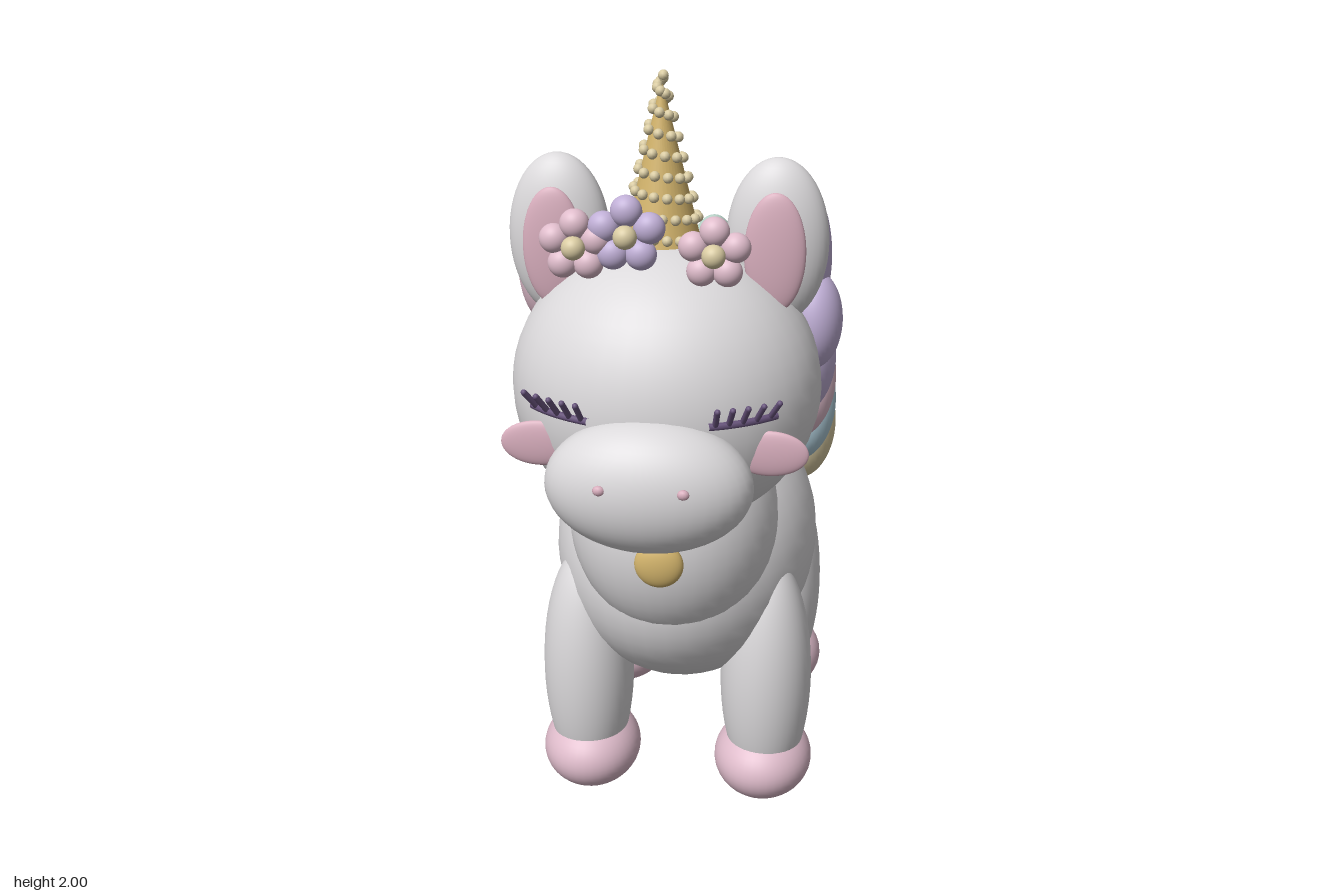
import * as THREE from 'three';

const CX = -0.008; // the body's mirror plane

const colours = {
  coat: 0xdbd9db, pink: 0xdfbccb, rose: 0xd8aebd, lilac: 0xc0afd6, sky: 0xaecbd8,
  mint: 0xbcd8cd, cream: 0xd9cba2, gold: 0xd3b46c, plum: 0x66527a,
};

export function createModel() {
  const model = new THREE.Group();
  model.name = 'unicorn';
  const mats = {};
  for (const [name, hex] of Object.entries(colours)) {
    mats[name] = new THREE.MeshStandardMaterial({ color: hex });
    mats[name].name = name;
  }
  const ball = new THREE.SphereGeometry(1, 40, 28);
  const bead = new THREE.SphereGeometry(1, 12, 8);

  const add = (name, geo, mat, parent = model) => {
    const mesh = new THREE.Mesh(geo, mats[mat]);
    mesh.name = name;
    parent.add(mesh);
    return mesh;
  };
  // Ellipsoid from centre, radii and rotation
  const blob = (name, mat, pos, radii, rot = [0, 0, 0], parent = model, geo = ball) => {
    const mesh = add(name, geo, mat, parent);
    mesh.position.set(...pos);
    mesh.scale.set(...radii);
    mesh.rotation.set(...rot);
    return mesh;
  };
  const group = (name) => {
    const g = new THREE.Group();
    g.name = name;
    model.add(g);
    return g;
  };

  // Body, neck, head, muzzle
  blob('body', 'coat', [CX, 0.665, 0.035], [0.357, 0.375, 0.483]);
  blob('neck', 'coat', [CX, 0.85, 0.33], [0.268, 0.32, 0.26]);
  blob('head', 'coat', [CX, 1.25, 0.442], [0.371, 0.35, 0.328]);
  blob('muzzle', 'coat', [CX, 1.115, 0.748], [0.238, 0.16, 0.13]);
  blob('pendant', 'gold', [CX, 0.84, 0.605], [0.06, 0.06, 0.027]);

  // Height of the head's front surface
  const faceZ = (x, y) =>
    0.442 + 0.328 * Math.sqrt(1 - (x / 0.371) ** 2 - ((y - 1.25) / 0.35) ** 2);

  for (const s of [1, -1]) {
    const side = s > 0 ? 'left' : 'right';

    // Legs and hooves
    for (const [end, z, rz, hz] of [['Front', 0.287, 0.13, 0.15], ['Rear', -0.27, 0.148, 0.153]]) {
      blob(side + end + 'Leg', 'coat', [CX + s * 0.242, 0.363, z], [0.122, 0.355, rz]);
      blob(side + end + 'Hoof', 'pink', [CX + s * 0.238, 0.11, z], [0.133, 0.108, hz]);
    }

    // Ears
    blob(side + 'Ear', 'coat', [CX + s * 0.257, 1.597, 0.411], [0.12, 0.197, 0.07]);
    blob(side + 'InnerEar', 'rose', [CX + s * 0.257, 1.59, 0.492], [0.071, 0.14, 0.022]);

    // Cheeks and nostrils
    blob(side + 'Cheek', 'rose', [CX + s * 0.265, 1.173, 0.673], [0.09, 0.055, 0.014]);
    blob(side + 'Nostril', 'rose', [CX + s * 0.093, 1.147, 0.864], [0.014, 0.012, 0.01], [0, 0, 0], model, bead);

    // Closed eyelid with lashes
    const eye = group(side + 'Eye');
    const lid = [];
    for (let i = 0; i <= 6; i++) {
      const x = 0.135 + i * 0.024;
      lid.push(new THREE.Vector3(CX + s * x, 1.262, faceZ(x, 1.262) + 0.004));
    }
    const curve = new THREE.CatmullRomCurve3(lid);
    add('eyelid', new THREE.TubeGeometry(curve, 16, 0.009, 8), 'plum', eye);
    for (let i = 0; i < 5; i++) {
      const root = curve.getPoint(0.1 + i * 0.2);
      const tip = root.clone().add(new THREE.Vector3(s * (0.008 + i * 0.004), 0.046, 0.03));
      add('lash', new THREE.TubeGeometry(new THREE.LineCurve3(root, tip), 1, 0.007, 8), 'plum', eye);
      blob('lashTip', 'plum', tip.toArray(), [0.007, 0.007, 0.007], [0, 0, 0], eye, bead);
    }
  }

  // Horn wound with a spiral of beads
  const horn = group('horn');
  const hornBase = 1.615, hornHeight = 0.365, hornRadius = 0.088;
  const cone = add('hornCone', new THREE.ConeGeometry(hornRadius, hornHeight, 40), 'gold', horn);
  cone.position.set(CX, hornBase + hornHeight / 2, 0.495);
  let angle = 0;
  const turns = 8;
  while (angle < turns * Math.PI * 2) {
    const t = angle / (turns * Math.PI * 2);
    const r = hornRadius * (1 - t) + 0.004;
    blob('hornBead', 'cream',
      [CX + r * Math.cos(angle), hornBase + 0.01 + t * (hornHeight - 0.003), 0.495 + r * Math.sin(angle)],
      [0.012, 0.012, 0.012], [0, 0, 0], horn, bead);
    angle += Math.min(0.03 / r, 0.9);
  }

  // Flowers on the brow
  for (const [mat, x, y, ring, petal] of [
    ['pink', -0.192, 1.622, 0.05, 0.034],
    ['lilac', -0.075, 1.65, 0.054, 0.036],
    ['pink', 0.122, 1.613, 0.05, 0.034],
  ]) {
    const flower = group('flower');
    for (let i = 0; i < 5; i++) {
      const a = Math.PI / 2 + (i * Math.PI * 2) / 5;
      blob('petal', mat, [x + ring * Math.cos(a), y + ring * Math.sin(a), 0.594],
        [petal, petal, 0.03], [0, 0, 0], flower);
    }
    blob('flowerCentre', 'cream', [x, y, 0.618], [0.027, 0.027, 0.025], [0, 0, 0], flower);
  }

  // Mane locks over the crown: colour, x, y, rx, ry, lean
  const crown = group('crownMane');
  for (const [mat, x, y, rx, ry, lean] of [
    ['pink', -0.325, 1.485, 0.076, 0.155, 0],
    ['lilac', -0.215, 1.475, 0.066, 0.145, 0],
    ['sky', -0.117, 1.48, 0.066, 0.135, 0],
    ['cream', -0.02, 1.49, 0.066, 0.13, 0],
    ['mint', 0.085, 1.485, 0.066, 0.135, 0],
    ['pink', 0.187, 1.49, 0.066, 0.15, 0],
    ['lilac', 0.295, 1.52, 0.078, 0.183, 0],
  ]) blob('crownLock', mat, [x, y, 0.269], [rx, ry, 0.098], [0, 0, lean], crown);
  blob('crownLock', 'lilac', [0.335, 1.375, 0.302], [0.07, 0.122, 0.084], [0, 0, 0], crown);

  // Mane braid down the left side: colour, y, z, ry, rz, tilt
  const braid = group('sideBraid');
  for (const [mat, y, z, ry, rz, tilt] of [
    ['lilac', 1.19, 0.037, 0.175, 0.112, 0.1],
    ['pink', 1.095, -0.058, 0.17, 0.105, -0.42],
    ['sky', 0.992, -0.148, 0.17, 0.105, -0.42],
    ['cream', 0.897, -0.23, 0.171, 0.108, -0.15],
  ]) blob('braidLock', mat, [0.278, y, z], [0.109, ry, rz], [tilt, 0, 0], braid);

  // Tail locks fanning down and to the left
  const tail = group('tail');
  ['pink', 'lilac', 'sky', 'mint', 'cream'].forEach((mat, i) => {
    blob('tailLock', mat, [-0.135 + i * 0.066, 0.835 - i * 0.074, -0.5 - i * 0.046],
      [0.087, 0.124, 0.188 + i * 0.003], [0, -0.07, 0], tail);
  });

  return model;
}
